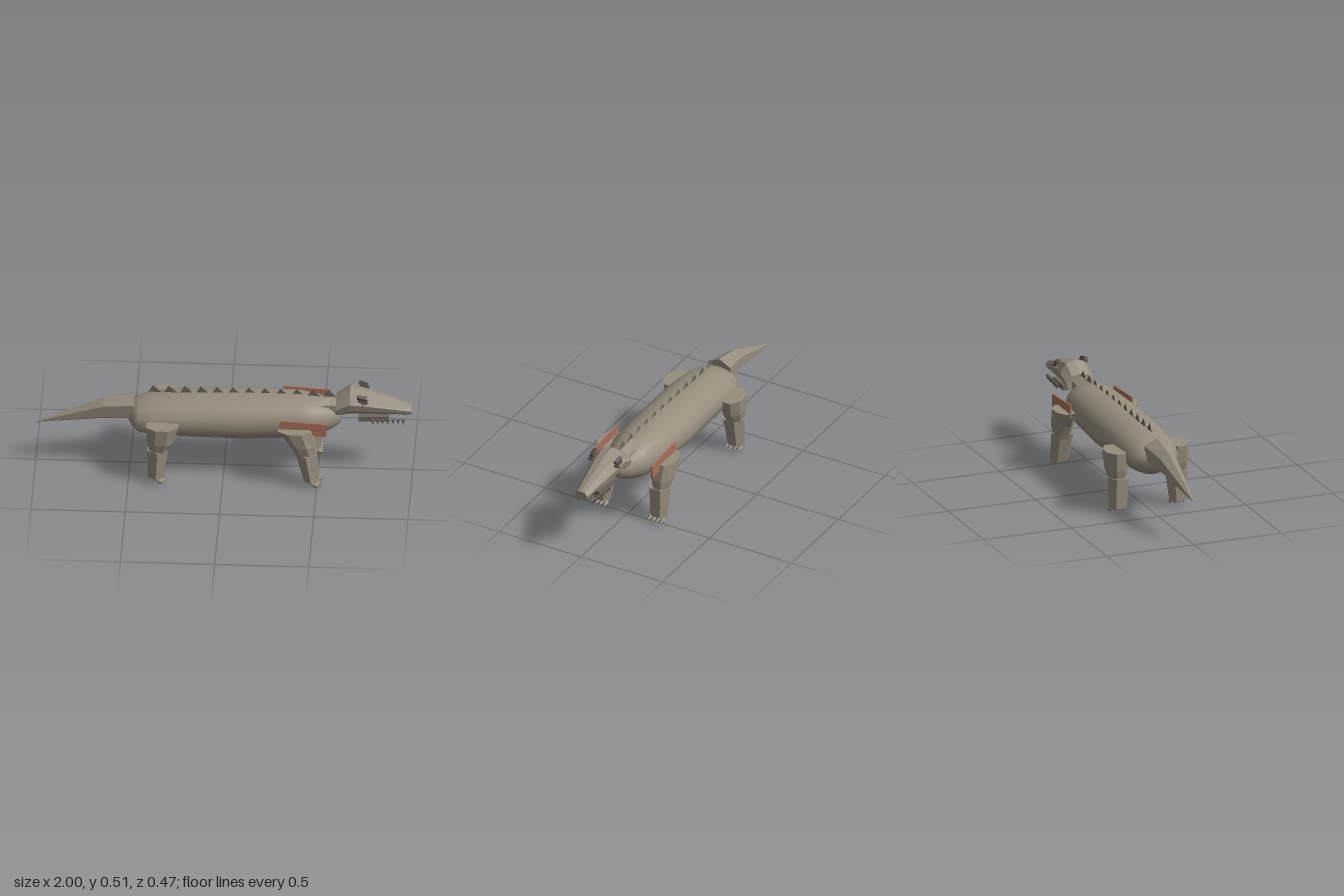
import * as THREE from 'three';

const hide = new THREE.MeshStandardMaterial({ color: 0x958c7c });
hide.name = 'hide';
const ridge = new THREE.MeshStandardMaterial({ color: 0x6c665c, side: THREE.DoubleSide });
ridge.name = 'dark ridge';
const rust = new THREE.MeshStandardMaterial({ color: 0xa86f5a });
rust.name = 'rust plate';
const browDark = new THREE.MeshStandardMaterial({ color: 0x5a4f4c });
browDark.name = 'dark brow';

// Skin a list of equal rings, with fan caps at both ends
function loft(rings, smooth = false) {
  const n = rings[0].length, pos = [], idx = [];
  rings.forEach(r => r.forEach(p => pos.push(...p)));
  for (let i = 0; i < rings.length - 1; i++) {
    for (let j = 0; j < n; j++) {
      const k = (j + 1) % n, a = i * n + j, b = i * n + k;
      idx.push(a, b, a + n, b, b + n, a + n);
    }
  }
  const last = (rings.length - 1) * n;
  for (let j = 1; j < n - 1; j++) {
    idx.push(0, j + 1, j, last, last + j, last + j + 1);
  }
  let g = new THREE.BufferGeometry();
  g.setAttribute('position', new THREE.Float32BufferAttribute(pos, 3));
  g.setIndex(idx);
  if (!smooth) g = g.toNonIndexed();
  g.computeVertexNormals();
  return g;
}

// Rings along x from [x, bottom, top, halfWidth]
function alongX(sections, n, turn = 0) {
  return sections.map(([x, b, t, w]) => Array.from({ length: n }, (_, j) => {
    const a = (j / n) * Math.PI * 2 + turn;
    return [x, (b + t) / 2 + Math.cos(a) * (t - b) / 2, Math.sin(a) * w];
  }));
}

// Rings going down y from [y, x0, x1, z0, z1], with squared-off corners
function downY(sections, side, n = 8) {
  return sections.map(([y, x0, x1, z0, z1]) => Array.from({ length: n }, (_, j) => {
    const a = ((j + 0.5) / n) * Math.PI * 2, k = 1.08;
    return [(x0 + x1) / 2 + Math.cos(a) * k * (x1 - x0) / 2, y,
      side * (z0 + z1) / 2 + Math.sin(a) * k * (z1 - z0) / 2];
  }));
}

function add(parent, name, geometry, material) {
  const m = new THREE.Mesh(geometry, material);
  m.name = name;
  parent.add(m);
  return m;
}

function leg(parent, name, side, thigh, shin, toeX) {
  const g = new THREE.Group();
  g.name = name;
  parent.add(g);
  add(g, 'thigh', loft(downY(thigh, side)), hide);
  add(g, 'shin', loft(downY(shin, side, 6)), hide);
  for (let i = 0; i < 4; i++) {
    const toe = add(g, 'toe', new THREE.OctahedronGeometry(1), hide);
    toe.scale.set(0.032, 0.019, 0.014);
    toe.rotation.z = -0.3;
    toe.position.set(toeX, 0.022, side * (0.135 + i * 0.025));
  }
}

export function createModel() {
  const model = new THREE.Group();
  model.name = 'reptile';

  // Smooth barrel body
  add(model, 'body', loft(alongX([
    [-0.51, 0.29, 0.35, 0.05], [-0.48, 0.25, 0.385, 0.11], [-0.45, 0.227, 0.4, 0.135],
    [-0.38, 0.22, 0.42, 0.15], [-0.2, 0.21, 0.447, 0.16], [0.1, 0.203, 0.457, 0.162],
    [0.4, 0.215, 0.457, 0.145], [0.5, 0.232, 0.438, 0.125], [0.58, 0.265, 0.4, 0.075],
    [0.62, 0.295, 0.365, 0.03],
  ], 16), true), hide);

  // Tail, neck and head
  add(model, 'tail', loft(alongX([
    [-1, 0.237, 0.243, 0.003], [-0.64, 0.275, 0.405, 0.052], [-0.475, 0.285, 0.435, 0.08],
  ], 6)), hide);
  add(model, 'neck', loft(alongX([
    [0.46, 0.36, 0.45, 0.08], [0.56, 0.35, 0.44, 0.052], [0.66, 0.345, 0.435, 0.058],
  ], 6)), hide);
  const head = new THREE.Group();
  head.name = 'head';
  model.add(head);
  add(head, 'skull', loft([
    [0.595, 0.355, 0.455, 0.08], [0.67, 0.372, 0.51, 0.086],
    [0.77, 0.37, 0.487, 0.075], [0.995, 0.36, 0.41, 0.037],
  ].map(([x, b, t, w]) => {
    const h = t - b;
    const half = [[t - h * 0.1, w * 0.6], [b + h * 0.55, w], [b + h * 0.25, w * 0.9], [b, w * 0.5]];
    return [[x, t, 0], ...half.map(([y, z]) => [x, y, z]),
      ...half.slice().reverse().map(([y, z]) => [x, y, -z])];
  })), hide);

  // Dropped lower jaw with teeth running past its tip
  add(head, 'lowerJaw', loft(alongX([
    [0.715, 0.327, 0.358, 0.06], [0.875, 0.326, 0.356, 0.05],
  ], 4, Math.PI / 4).map(r => r.map(([x, y, z]) => [x, 0.342 + (y - 0.342) * 1.3, z * 1.2]))), ridge);
  for (const s of [1, -1]) {
    for (let i = 0; i < 7; i++) {
      const tooth = add(head, 'tooth', new THREE.ConeGeometry(0.011, 0.032, 4).toNonIndexed(), ridge);
      tooth.geometry.computeVertexNormals();
      tooth.rotation.x = Math.PI;
      tooth.position.set(0.79 + i * 0.027, 0.327, s * (0.054 - i * 0.002));
    }
    // Eye and brow
    const eye = add(head, 'eye', new THREE.OctahedronGeometry(0.014), rust);
    eye.position.set(0.742, 0.455, s * 0.08);
    const lid = add(head, 'eyelid', new THREE.BoxGeometry(0.05, 0.012, 0.022), browDark);
    lid.position.set(0.74, 0.469, s * 0.079);
    lid.rotation.z = -0.25;
    const brow = add(head, 'brow', new THREE.BoxGeometry(0.05, 0.018, 0.022), browDark);
    brow.position.set(0.735, 0.487, s * 0.075);
    brow.rotation.set(s * 0.4, 0, -0.3);
  }

  // Row of thin triangular spines along the back
  const spine = new THREE.ShapeGeometry(new THREE.Shape([
    new THREE.Vector2(-0.035, 0), new THREE.Vector2(0.035, 0), new THREE.Vector2(-0.008, 0.042),
  ]));
  for (let i = 0; i < 12; i++) {
    add(model, 'backSpine', spine, ridge).position.set(-0.37 + i * 0.0845, 0.446, 0);
  }

  // Legs and shoulder plates, mirrored
  for (const s of [1, -1]) {
    const label = s > 0 ? 'near' : 'far';
    leg(model, label + 'FrontLeg', s,
      [[0.345, 0.295, 0.47, 0.125, 0.235], [0.25, 0.36, 0.49, 0.118, 0.228], [0.165, 0.4, 0.49, 0.13, 0.21]],
      [[0.2, 0.385, 0.5, 0.103, 0.224], [0.036, 0.432, 0.51, 0.125, 0.221]], 0.495);
    leg(model, label + 'HindLeg', s,
      [[0.345, -0.405, -0.235, 0.115, 0.235], [0.25, -0.4, -0.26, 0.115, 0.23], [0.165, -0.38, -0.31, 0.13, 0.21]],
      [[0.2, -0.402, -0.285, 0.105, 0.224], [0.036, -0.4, -0.308, 0.125, 0.221]], -0.33);
    for (let i = 0; i < 5; i++) {
      const plate = add(model, 'shoulderPlate', new THREE.BoxGeometry(0.056, 0.075, 0.008), rust);
      plate.position.set(0.328 + i * 0.049, 0.356 - i * 0.003, s * 0.176);
      plate.rotation.z = -0.05;
    }
  }
  return model;
}
